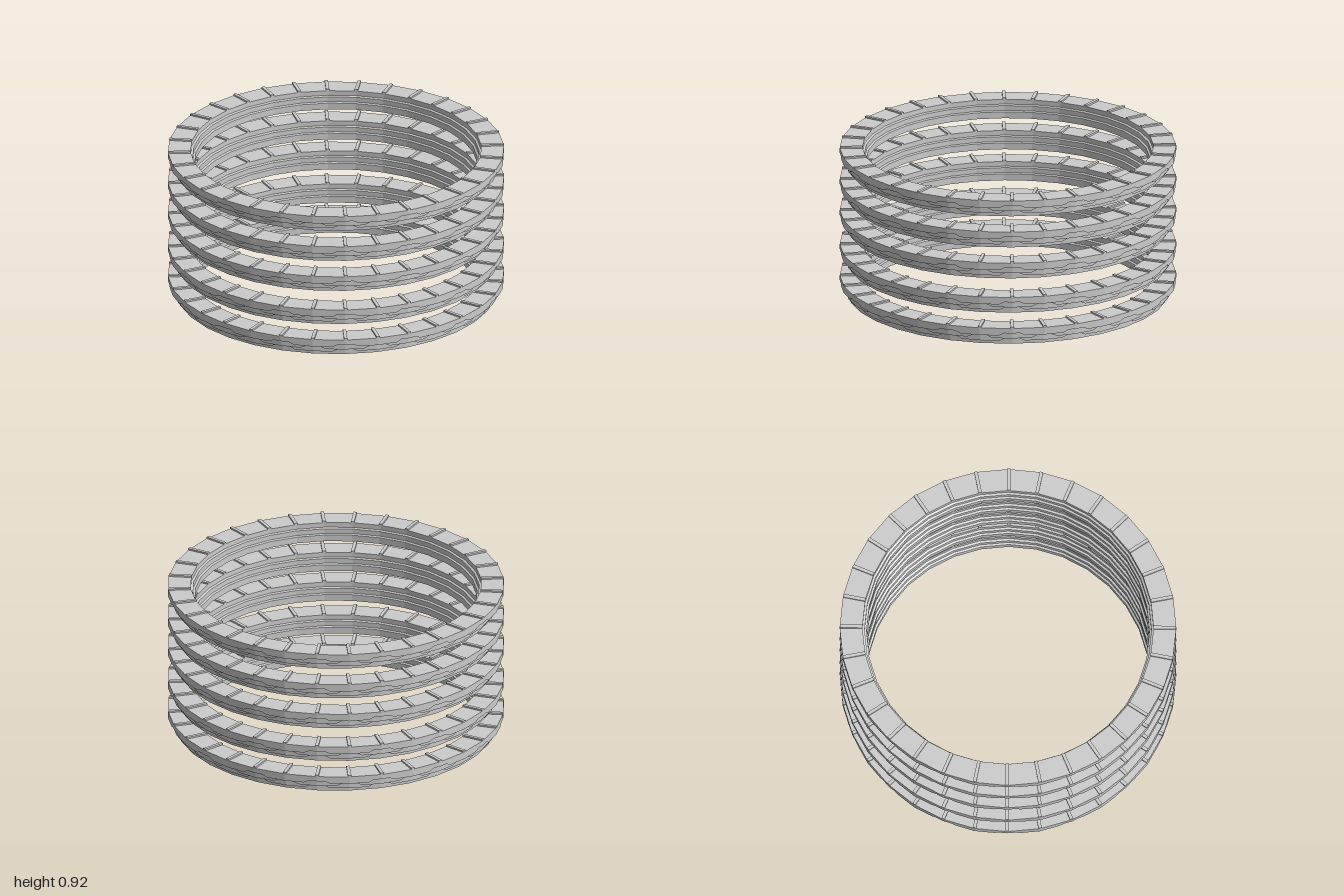
import * as THREE from 'three';

const SIDES = 32;
const STEP = (Math.PI * 2) / SIDES;

// Point on a 32-sided polygon; s counts sides and may be fractional
function onPolygon(r, s, y) {
  const i = Math.floor(s), t = s - i;
  const a = i * STEP, b = (i + 1) * STEP;
  return [
    r * (Math.sin(a) * (1 - t) + Math.sin(b) * t), y,
    r * (Math.cos(a) * (1 - t) + Math.cos(b) * t),
  ];
}

// Thin facing band whose lower edge steps up and down around the ring
function steppedBand(r, rIn, top, low, high, flip) {
  const pos = [], idx = [];
  const stops = [0, 0.6, 0.78, 1, 1.22, 1.4];
  const edge = [low, low, high, high, high, low];
  const cols = [];
  for (let k = 0; k < SIDES; k += 2) {
    stops.forEach((s, j) => cols.push([k + s + (flip ? 1 : 0), edge[j]]));
  }
  cols.push([SIDES + (flip ? 1 : 0), low]);
  cols.forEach(([s, y]) => {
    pos.push(...onPolygon(r, s, top), ...onPolygon(r, s, y), ...onPolygon(rIn, s, y));
  });
  for (let c = 0; c < cols.length - 1; c++) {
    for (let row = 0; row < 2; row++) {
      const a = c * 3 + row, b = a + 1, d = a + 3, e = a + 4;
      idx.push(a, b, d, b, e, d);
    }
  }
  const g = new THREE.BufferGeometry();
  g.setAttribute('position', new THREE.Float32BufferAttribute(pos, 3));
  g.setIndex(idx);
  g.computeVertexNormals();
  return g;
}

export function createModel() {
  const model = new THREE.Group();
  model.name = 'ringStack';
  const mat = new THREE.MeshStandardMaterial({
    color: 0xcccccc, flatShading: true, side: THREE.DoubleSide,
  });

  // Ring body: closed profile with a stepped inner wall
  const profile = [
    [0.84, 0], [0.955, 0], [0.955, 0.08], [1, 0.08], [1, 0.11], [0.865, 0.11],
    [0.865, 0.08], [0.852, 0.075], [0.852, 0.045], [0.84, 0.04], [0.84, 0],
  ].map(([x, y]) => new THREE.Vector2(x, y));
  const bodyGeo = new THREE.LatheGeometry(profile, SIDES);

  // Three overlapping tiers on the outer wall
  const tiers = [
    steppedBand(1, 0.984, 0.11, 0.065, 0.082, false),
    steppedBand(0.985, 0.969, 0.085, 0.043, 0.06, true),
    steppedBand(0.97, 0.954, 0.063, 0.022, 0.038, false),
  ];

  // Raised radial rib at each corner
  const ribGeo = new THREE.BoxGeometry(0.02, 0.02, 0.135);
  ribGeo.translate(0, 0.11, 0.9315);

  [0, 0.195, 0.41, 0.605, 0.8].forEach((y, n) => {
    const ring = new THREE.Group();
    ring.name = `ring${n + 1}`;
    ring.position.y = y;

    const body = new THREE.Mesh(bodyGeo, mat);
    body.name = 'ringBody';
    ring.add(body);

    tiers.forEach((g, k) => {
      const band = new THREE.Mesh(g, mat);
      band.name = `outerTier${k + 1}`;
      ring.add(band);
    });

    for (let i = 0; i < SIDES; i++) {
      const rib = new THREE.Mesh(ribGeo, mat);
      rib.name = 'topRib';
      rib.rotation.y = i * STEP;
      ring.add(rib);
    }
    model.add(ring);
  });
  return model;
}
